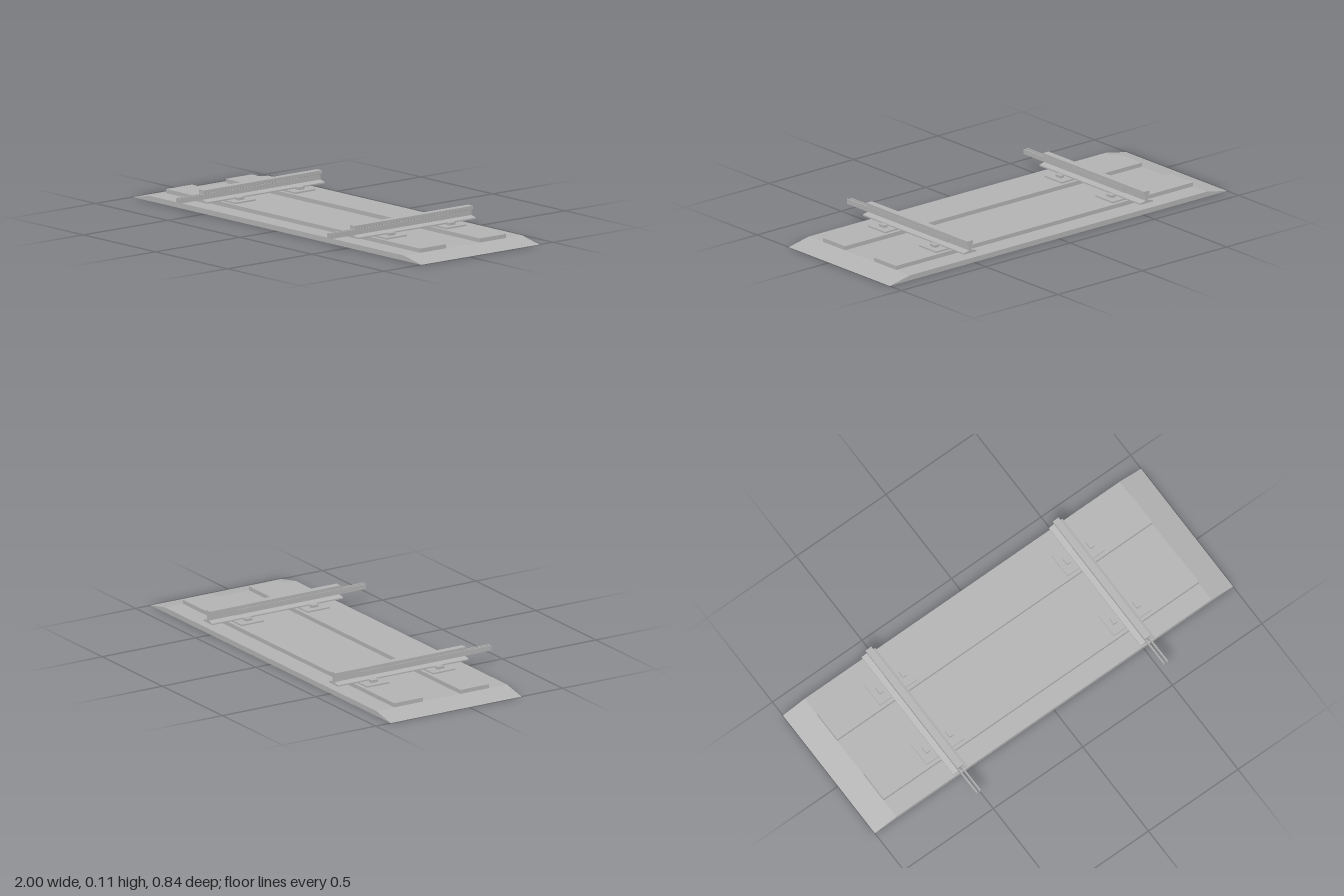
import * as THREE from 'three';

const grey = new THREE.MeshStandardMaterial({ color: 0xb2b2b2 });
grey.name = 'plain grey';

const BACK = -0.42, FRONT = 0.28;

// Box given by its extents on each axis
function box(name, [x0, x1], [y0, y1], [z0, z1]) {
  const mesh = new THREE.Mesh(new THREE.BoxGeometry(x1 - x0, y1 - y0, z1 - z0), grey);
  mesh.position.set((x0 + x1) / 2, (y0 + y1) / 2, (z0 + z1) / 2);
  mesh.name = name;
  return mesh;
}

// Symmetric cross-section, listed up its +x side, run along the track
function section(name, half) {
  const right = half.map(([x, y]) => new THREE.Vector2(x, y));
  const left = half.map(([x, y]) => new THREE.Vector2(-x, y)).reverse();
  const geometry = new THREE.ExtrudeGeometry(new THREE.Shape([...right, ...left]), {
    depth: FRONT - BACK, bevelEnabled: false,
  });
  geometry.translate(0, 0, BACK);
  const mesh = new THREE.Mesh(geometry, grey);
  mesh.name = name;
  return mesh;
}

export function createModel() {
  const model = new THREE.Group();
  model.name = 'trackSegment';

  // Bed with sloping shoulders
  model.add(section('trackBed', [[1, 0], [0.88, 0.024]]));

  // Two sleepers across the bed
  const sleeperZ = [-0.247, 0.107];
  for (const z of sleeperZ) {
    model.add(box('sleeper', [-0.88, 0.88], [0.02, 0.043], [z - 0.077, z + 0.077]));
  }

  for (const side of [-1, 1]) {
    const track = new THREE.Group();
    track.name = side < 0 ? 'rightRail' : 'leftRail';
    track.position.x = side * 0.523;

    // Rail: foot, web and head
    track.add(section('rail', [
      [0.038, 0.05], [0.038, 0.056], [0.007, 0.063],
      [0.007, 0.088], [0.016, 0.091], [0.016, 0.107],
    ]));

    for (const s of [-1, 1]) {
      // Joint bars beside the web, reaching past the front end
      const xs = [s * 0.0068, s * 0.0115].sort((a, b) => a - b);
      track.add(box('jointBar', xs, [0.064, 0.088], [-0.28, 0.42]));
    }

    // Base plates with a clip either side of the foot
    for (const z of sleeperZ) {
      track.add(box('basePlate', [-0.105, 0.105], [0.042, 0.05], [z - 0.06, z + 0.06]));
      for (const s of [-1, 1]) {
        track.add(box('clip', [s * 0.065 - 0.011, s * 0.065 + 0.011], [0.049, 0.062], [z - 0.018, z + 0.018]));
      }
    }
    model.add(track);
  }
  return model;
}
